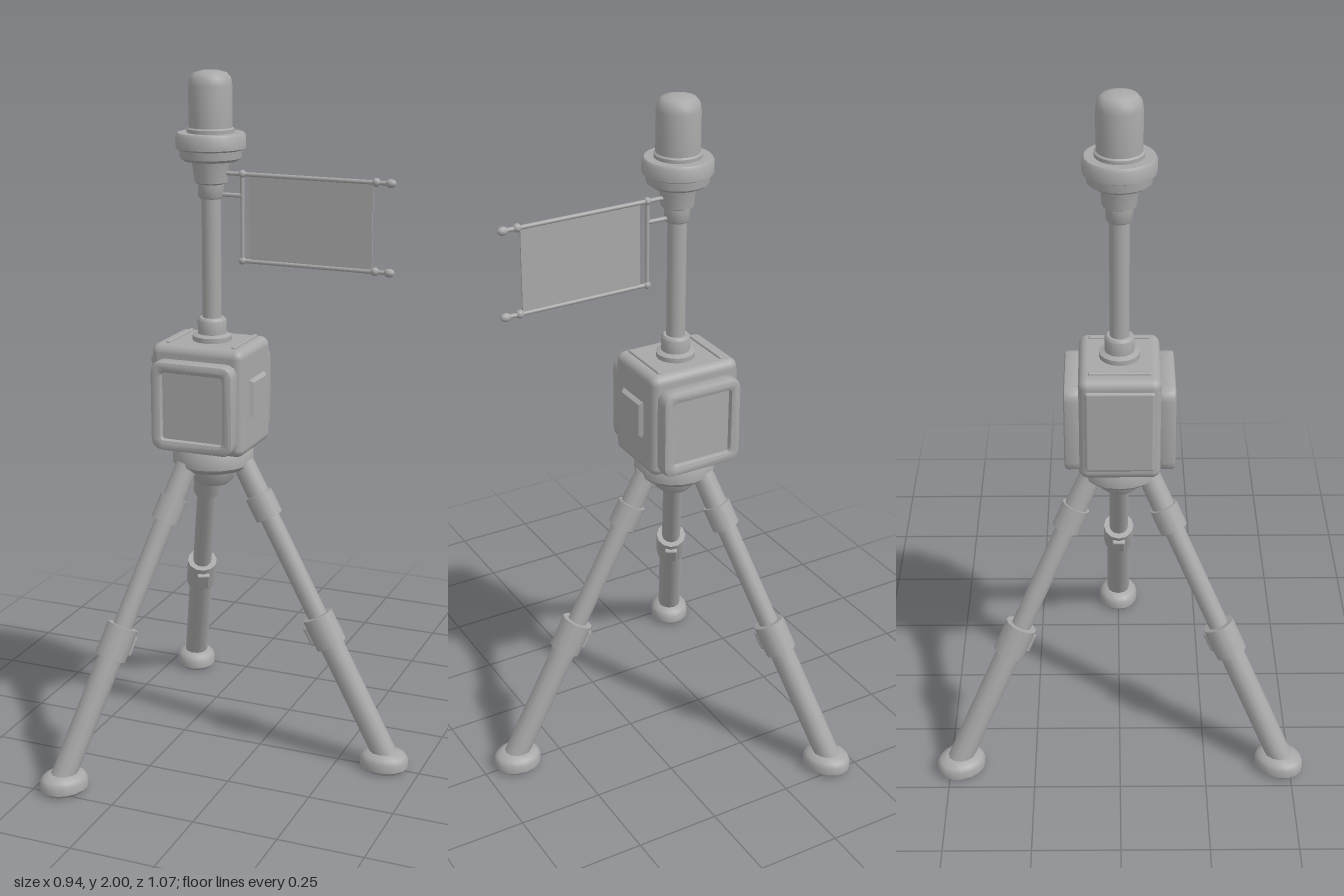
import * as THREE from 'three';
import { toCreasedNormals } from 'three/addons/utils/BufferGeometryUtils.js';
import { RoundedBoxGeometry } from 'three/addons/geometries/RoundedBoxGeometry.js';

const grey = new THREE.MeshStandardMaterial({ color: 0xa8a8a8 });
grey.name = 'plain grey';
const cloth = new THREE.MeshStandardMaterial({ color: 0xa8a8a8, side: THREE.DoubleSide });
cloth.name = 'cloth grey';

function add(parent, name, geometry, x = 0, y = 0, z = 0, material = grey) {
  const mesh = new THREE.Mesh(geometry, material);
  mesh.name = name;
  mesh.position.set(x, y, z);
  parent.add(mesh);
  return mesh;
}

// Turned part from [radius, height] pairs listed bottom to top
function turned(points, sides = 16) {
  const profile = points.map(([r, y]) => new THREE.Vector2(r, y));
  return toCreasedNormals(new THREE.LatheGeometry(profile, sides), 0.7);
}

// Straight round bar between two points
function bar(parent, name, a, b, r0, r1 = r0, sides = 10) {
  const from = new THREE.Vector3(...a), dir = new THREE.Vector3(...b).sub(from);
  const mesh = add(parent, name, new THREE.CylinderGeometry(r1, r0, dir.length(), sides));
  mesh.position.copy(from).addScaledVector(dir, 0.5);
  mesh.quaternion.setFromUnitVectors(new THREE.Vector3(0, 1, 0), dir.normalize());
  return mesh;
}

// Rounded rectangle outline, used for panel frames and their openings
function roundedRect(Type, w, h, r) {
  const s = new Type(), x = w / 2, y = h / 2;
  s.moveTo(-x + r, -y).lineTo(x - r, -y).quadraticCurveTo(x, -y, x, -y + r);
  s.lineTo(x, y - r).quadraticCurveTo(x, y, x - r, y);
  s.lineTo(-x + r, y).quadraticCurveTo(-x, y, -x, y - r);
  s.lineTo(-x, -y + r).quadraticCurveTo(-x, -y, -x + r, -y);
  return s;
}

// Framed panel with a sunken centre, facing +z
function sunkenPanel() {
  const panel = new THREE.Group();
  const outline = roundedRect(THREE.Shape, 0.23, 0.24, 0.025);
  outline.holes.push(roundedRect(THREE.Path, 0.205, 0.215, 0.02));
  const frame = new THREE.ExtrudeGeometry(outline, {
    depth: 0.03, bevelSize: 0.01, bevelThickness: 0.01, bevelSegments: 2, curveSegments: 4,
  });
  add(panel, 'panelFrame', toCreasedNormals(frame, 0.7), 0, 0, 0);
  add(panel, 'panelCentre', new THREE.BoxGeometry(0.21, 0.22, 0.025), 0, 0, 0.012);
  return panel;
}

// One leg leaning out along +x from the central axis
function makeLeg() {
  const leg = new THREE.Group();
  leg.name = 'leg';
  const at = (y) => [0.16 + (0.765 - y) * 0.53, y, 0];
  bar(leg, 'hipTube', at(0.89), at(0.75), 0.032, 0.034, 12);
  bar(leg, 'upperTube', at(0.78), at(0.4), 0.029, 0.029, 12);
  bar(leg, 'lowerTube', at(0.42), at(0.03), 0.036, 0.036, 12);
  bar(leg, 'upperClamp', at(0.8), at(0.735), 0.041, 0.041, 12);
  const clamp = bar(leg, 'middleClamp', at(0.45), at(0.365), 0.046, 0.046, 12);
  add(clamp, 'clampLever', new RoundedBoxGeometry(0.02, 0.06, 0.04, 2, 0.006), 0.045, 0, 0);
  const foot = add(leg, 'foot', turned([
    [0, 0], [0.052, 0], [0.061, 0.01], [0.061, 0.033], [0.054, 0.045], [0.036, 0.055], [0, 0.055],
  ]), 0.54);
  foot.scale.x = 1.18;
  return leg;
}

// Hanging flag with its rods, in mast coordinates
function makeFlag() {
  const flag = new THREE.Group();
  flag.name = 'flag';
  bar(flag, 'bracket', [0.02, 1.662, 0], [0.094, 1.662, 0], 0.006);
  bar(flag, 'uprightRod', [0.094, 1.475, 0], [0.094, 1.73, 0], 0.006);
  for (const [y, start] of [[1.722, 0.03], [1.48, 0.085]]) {
    bar(flag, 'crossRod', [start, y, 0], [0.535, y - 0.003, 0], 0.006);
    add(flag, 'rodJoint', new THREE.SphereGeometry(0.011, 10, 8), 0.094, y, 0);
    add(flag, 'rodCollar', new THREE.SphereGeometry(0.012, 10, 8), 0.481, y - 0.002, 0);
    const tip = add(flag, 'rodTip', new THREE.SphereGeometry(0.012, 10, 8), 0.522, y - 0.003, 0);
    tip.scale.x = 1.3;
  }
  add(flag, 'cloth', new THREE.BoxGeometry(0.356, 0.24, 0.004), 0.295, 1.601, 0, cloth);
  return flag;
}

export function createModel() {
  const model = new THREE.Group();
  model.name = 'tripodBeacon';
  const body = new THREE.Group();
  body.name = 'beacon';
  body.position.x = -0.147;
  model.add(body);

  // Tripod
  for (let i = 0; i < 3; i++) {
    const leg = makeLeg();
    leg.rotation.y = (i * Math.PI * 2) / 3;
    body.add(leg);
  }
  add(body, 'tripodHub', turned([
    [0, 0.82], [0.045, 0.82], [0.058, 0.832], [0.066, 0.87], [0.1, 0.872],
    [0.118, 0.888], [0.118, 0.92], [0.104, 0.945], [0, 0.945],
  ], 20));

  // Box housing with sunken panels front and back
  add(body, 'housing', new RoundedBoxGeometry(0.28, 0.312, 0.224, 3, 0.025), -0.004, 1.09, 0);
  for (const side of [1, -1]) {
    const panel = sunkenPanel();
    panel.name = side > 0 ? 'frontPanel' : 'backPanel';
    panel.position.set(-0.003, 1.077, side * 0.112);
    if (side < 0) panel.rotation.y = Math.PI;
    body.add(panel);
    add(body, 'topRidge', new RoundedBoxGeometry(0.012, 0.012, 0.17, 2, 0.004), side * 0.1, 1.246, 0);
  }
  add(body, 'rightPanel', new RoundedBoxGeometry(0.02, 0.25, 0.19, 3, 0.009), -0.14, 1.09, 0);

  // Small hatch on the flag side, a shallow square with a bevelled rim
  const hatch = add(body, 'hatch', new THREE.CylinderGeometry(0.068, 0.082, 0.016, 4), 0.14, 1.097, 0);
  hatch.geometry = toCreasedNormals(hatch.geometry.rotateY(Math.PI / 4).rotateZ(-Math.PI / 2), 0.3);

  // Mast and its collars
  add(body, 'mast', new THREE.CylinderGeometry(0.027, 0.027, 0.46, 16), 0, 1.47, 0);
  add(body, 'mastFoot', turned([
    [0, 1.24], [0.056, 1.24], [0.056, 1.26], [0.041, 1.266], [0.041, 1.305], [0.035, 1.312], [0, 1.312],
  ]));
  add(body, 'mastCollar', turned([
    [0, 1.65], [0.032, 1.65], [0.036, 1.656], [0.036, 1.69], [0.046, 1.695],
    [0.05, 1.735], [0.056, 1.76], [0, 1.76],
  ]));

  // Lamp head
  add(body, 'lampRing', turned([
    [0, 1.755], [0.075, 1.755], [0.086, 1.763], [0.088, 1.785], [0.098, 1.79],
    [0.098, 1.824], [0.092, 1.832], [0.07, 1.832], [0, 1.832],
  ], 24));
  add(body, 'lampDome', turned([
    [0, 1.825], [0.066, 1.825], [0.066, 1.842], [0.061, 1.846], [0.061, 1.96],
    [0.057, 1.98], [0.046, 1.993], [0.025, 1.999], [0, 2],
  ], 24));

  body.add(makeFlag());
  return model;
}
